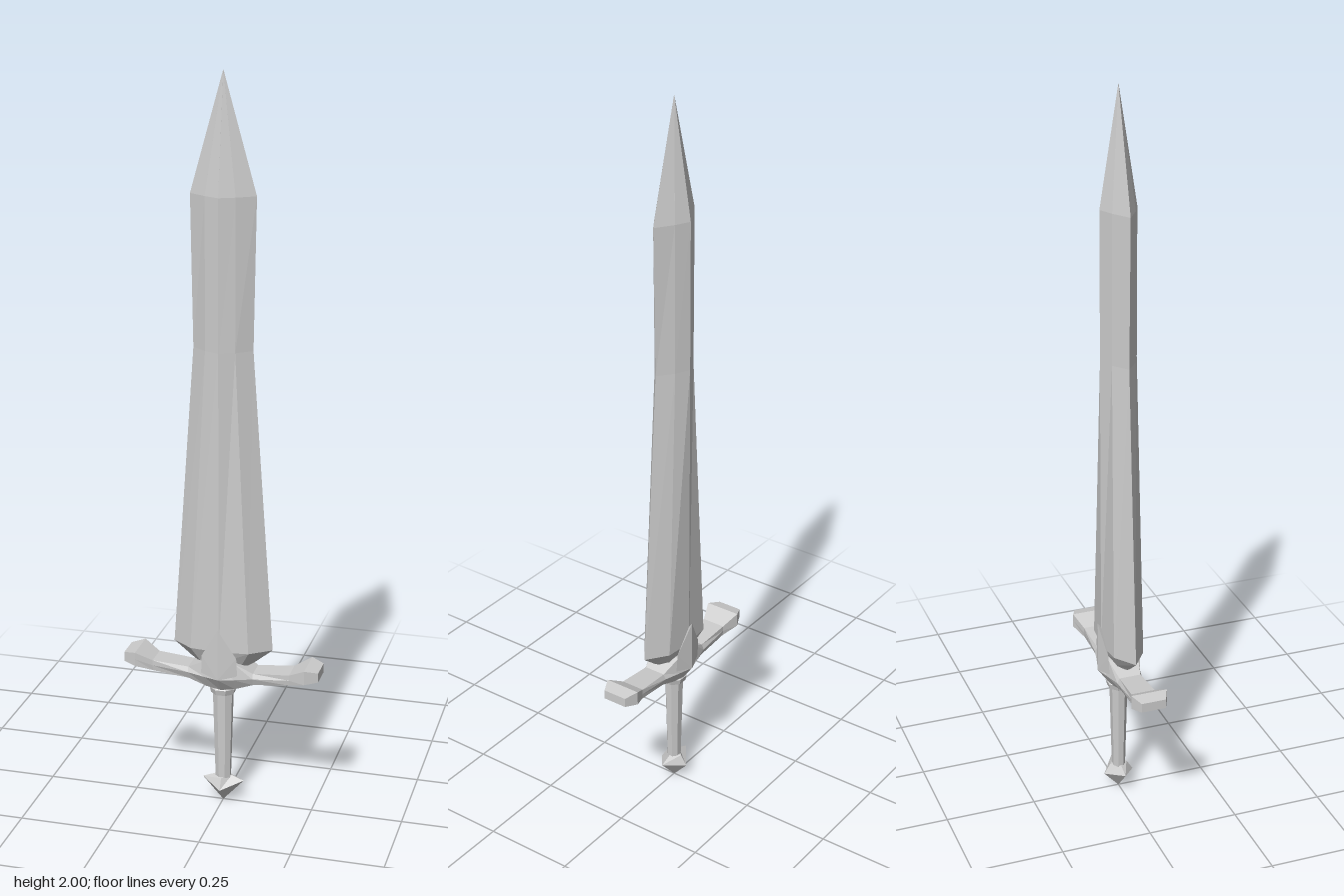
import * as THREE from 'three';
import { ConvexGeometry } from 'three/addons/geometries/ConvexGeometry.js';

const material = new THREE.MeshStandardMaterial({ color: 0xcccccc, flatShading: true });

// Faceted skin over rings of [x, y, z], each ring counterclockwise about the loft direction
function loft(rings) {
  const pos = [];
  const tri = (a, b, c) => pos.push(...a, ...b, ...c);
  const n = rings[0].length;
  for (let i = 0; i < rings.length - 1; i++) {
    for (let j = 0; j < n; j++) {
      const k = (j + 1) % n;
      tri(rings[i][j], rings[i][k], rings[i + 1][k]);
      tri(rings[i][j], rings[i + 1][k], rings[i + 1][j]);
    }
  }
  const first = rings[0], last = rings[rings.length - 1];
  for (let j = 1; j < n - 1; j++) {
    tri(first[0], first[j + 1], first[j]);
    tri(last[0], last[j], last[j + 1]);
  }
  const geometry = new THREE.BufferGeometry();
  geometry.setAttribute('position', new THREE.Float32BufferAttribute(pos, 3));
  geometry.computeVertexNormals();
  return geometry;
}

// Eight-point blade section: edge half width w, facet corner (m, mz), ridge half depth d
const bladeRing = ([y, w, m, mz, d, ridgeY = y]) => [
  [w, y, 0], [m, y, -mz], [0, ridgeY, -d], [-m, y, -mz],
  [-w, y, 0], [-m, y, mz], [0, ridgeY, d], [m, y, mz],
];

// Six-point guard section at x: top, belly and underside as [y, half depth]
const guardRing = (x, [[yt, zt], [ym, zm], [yb, zb]]) => [
  [x, yt, zt], [x, ym, zm], [x, yb, zb],
  [x, yb, -zb], [x, ym, -zm], [x, yt, -zt],
];

export function createModel() {
  const group = new THREE.Group();
  const add = (name, geometry) => {
    const mesh = new THREE.Mesh(geometry, material);
    mesh.name = name;
    group.add(mesh);
    return mesh;
  };

  // Blade: bevelled foot, long taper to the waist, flared shoulder and point
  add('blade', loft([
    [0.39, 0.04, 0.025, 0.02, 0.03],
    [0.425, 0.09, 0.06, 0.025, 0.035],
    [0.463, 0.137, 0.08, 0.042, 0.05],
    [1.29, 0.08, 0.04, 0.032, 0.05],
    [1.69, 0.087, 0.04, 0.031, 0.05],
    [2.0, 0.0005, 0.0003, 0.0002, 0.0005],
  ].map(bladeRing)));

  // Crossguard: upswept arms with knobbed ends, mirrored about the centre
  const arm = [
    [0, [[0.44, 0.045], [0.385, 0.06], [0.343, 0.03]]],
    [0.04, [[0.43, 0.042], [0.385, 0.048], [0.35, 0.028]]],
    [0.09, [[0.402, 0.03], [0.388, 0.036], [0.368, 0.028]]],
    [0.19, [[0.41, 0.033], [0.395, 0.033], [0.38, 0.031]]],
    [0.235, [[0.434, 0.05], [0.415, 0.05], [0.395, 0.05]]],
    [0.27, [[0.426, 0.034], [0.413, 0.034], [0.4, 0.034]]],
  ];
  add('crossguard', loft([
    ...arm.slice(1).reverse().map(([x, s]) => guardRing(-x, s)),
    ...arm.map(([x, s]) => guardRing(x, s)),
  ]));

  // Ridged pointed prongs clasping both faces of the blade
  for (const side of [1, -1]) {
    const points = [
      [0, 0.53, 0.06], [0, 0.385, 0.061],
      [0.048, 0.447, 0.046], [-0.048, 0.447, 0.046],
      [0.05, 0.395, 0.044], [-0.05, 0.395, 0.044],
      [0, 0.51, 0.045], [0, 0.4, 0.03],
    ].map(([x, y, z]) => new THREE.Vector3(x, y, z * side));
    add(side > 0 ? 'frontProng' : 'backProng', new ConvexGeometry(points));
  }

  // Neck, collar and grip: eight-sided and slightly flattened
  const handle = (name, top, bottom, y0, y1, depth) => {
    const geometry = new THREE.CylinderGeometry(top, bottom, y1 - y0, 8);
    geometry.rotateY(Math.PI / 8);
    geometry.scale(1.08, 1, depth);
    geometry.translate(0, (y0 + y1) / 2, 0);
    add(name, geometry);
  };
  handle('neck', 0.028, 0.024, 0.34, 0.365, 1);
  handle('collarUpper', 0.027, 0.035, 0.342, 0.352, 1);
  handle('collar', 0.035, 0.031, 0.326, 0.342, 1);
  handle('grip', 0.027, 0.02, 0.065, 0.33, 0.9);

  // Pommel: four-cornered point with raised side corners
  const pommelRing = (w, wy, d, dy) => [[w, wy, 0], [0, dy, -d], [-w, wy, 0], [0, dy, d]];
  add('pommel', loft([
    pommelRing(0.0005, 0, 0.0005, 0),
    pommelRing(0.058, 0.063, 0.042, 0.045),
    pommelRing(0.024, 0.076, 0.024, 0.074),
  ]));

  return group;
}
